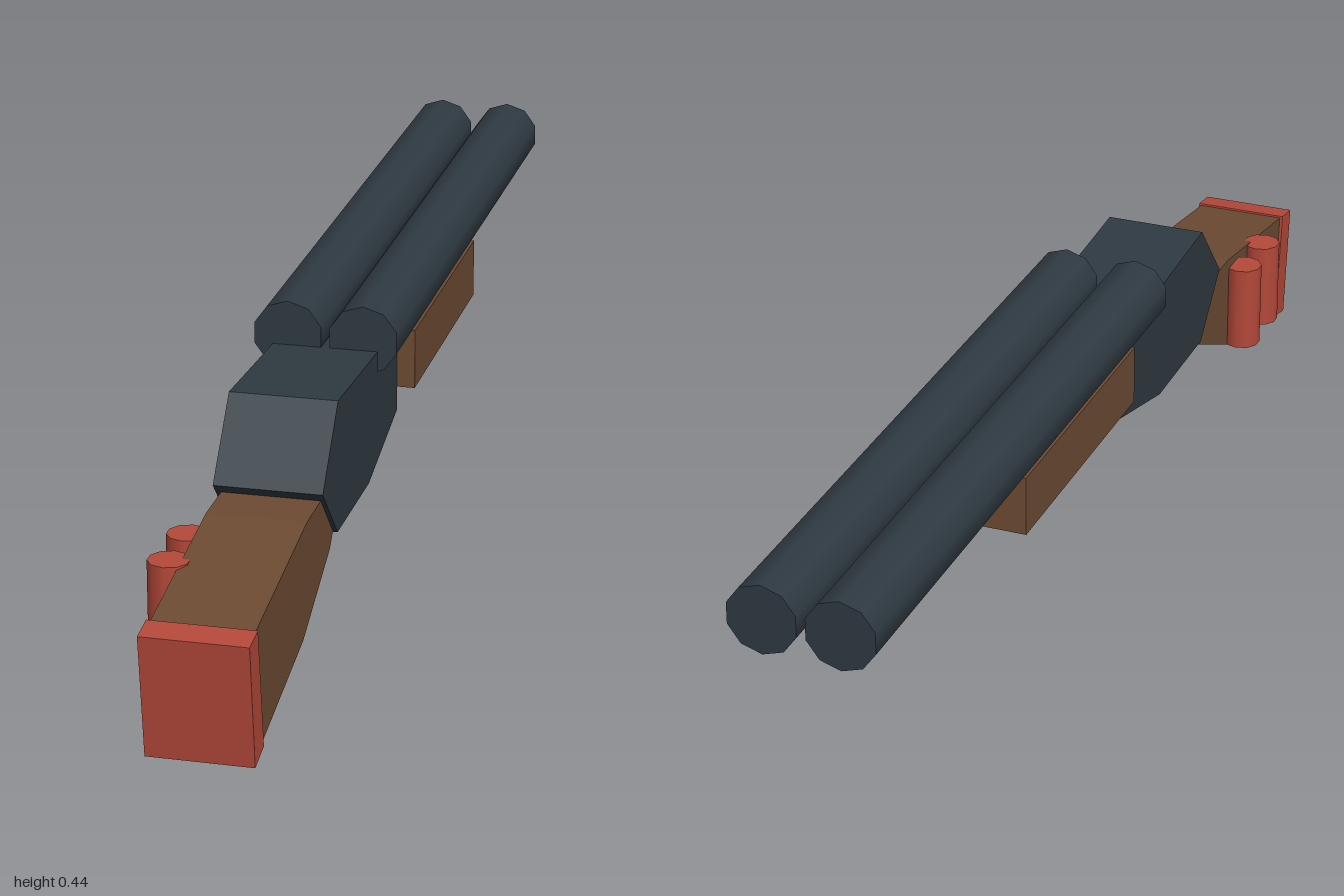
import * as THREE from 'three';

const material = (name, color) => {
  const m = new THREE.MeshStandardMaterial({ color });
  m.name = name;
  return m;
};

export function createModel() {
  const group = new THREE.Group();
  const steel = material('gunmetal', 0x2f3a42);
  const wood = material('walnut', 0x6d4b33);
  const red = material('red', 0xb5493a);

  const add = (name, geometry, mat, x = 0, y = 0, z = 0) => {
    const mesh = new THREE.Mesh(geometry, mat);
    mesh.name = name;
    mesh.position.set(x, y, z);
    group.add(mesh);
  };

  // Side profile given as [z, y] points, extruded across x
  const slab = (points, xMin, xMax) => {
    const shape = new THREE.Shape(points.map(([z, y]) => new THREE.Vector2(z, y)));
    return new THREE.ExtrudeGeometry(shape, { depth: xMax - xMin, bevelEnabled: false })
      .rotateY(-Math.PI / 2)
      .translate(xMax, 0, 0);
  };

  // Twin ten-sided barrels with a vertex at the top
  for (const [name, x] of [['rightBarrel', -0.057], ['leftBarrel', 0.068]]) {
    const barrel = new THREE.CylinderGeometry(0.058, 0.058, 1.205, 10).rotateX(-Math.PI / 2);
    add(name, barrel, steel, x, 0.385, -0.3975);
  }

  // Fore-end under the barrels
  add('foreEnd', new THREE.BoxGeometry(0.232, 0.101, 0.485), wood, 0.006, 0.3065, -0.1825);

  // Angular receiver
  add('receiver', slab([
    [0.575, 0.267], [0.475, 0.384], [0.06, 0.36],
    [0.06, 0.215], [0.265, 0.164], [0.48, 0.167],
  ], -0.082, 0.092), steel);

  // Shoulder stock, its front end buried in the receiver
  add('stock', slab([
    [0.952, 0.205], [0.647, 0.251], [0.5, 0.251], [0.46, 0.19],
    [0.482, 0.168], [0.503, 0.147], [0.674, 0.067], [0.928, 0.013],
  ], -0.073, 0.085), wood);

  // Butt pad
  add('buttPad', slab([
    [1, 0.202], [0.953, 0.208], [0.926, 0.011], [0.976, 0],
  ], -0.078, 0.089), red);

  // Spare shells on the right side of the stock
  [0.682, 0.785].forEach((z, i) => {
    add(`spareShell${i + 1}`, new THREE.CylinderGeometry(0.033, 0.033, 0.155, 10), red, -0.092, 0.1535, z);
  });

  return group;
}
